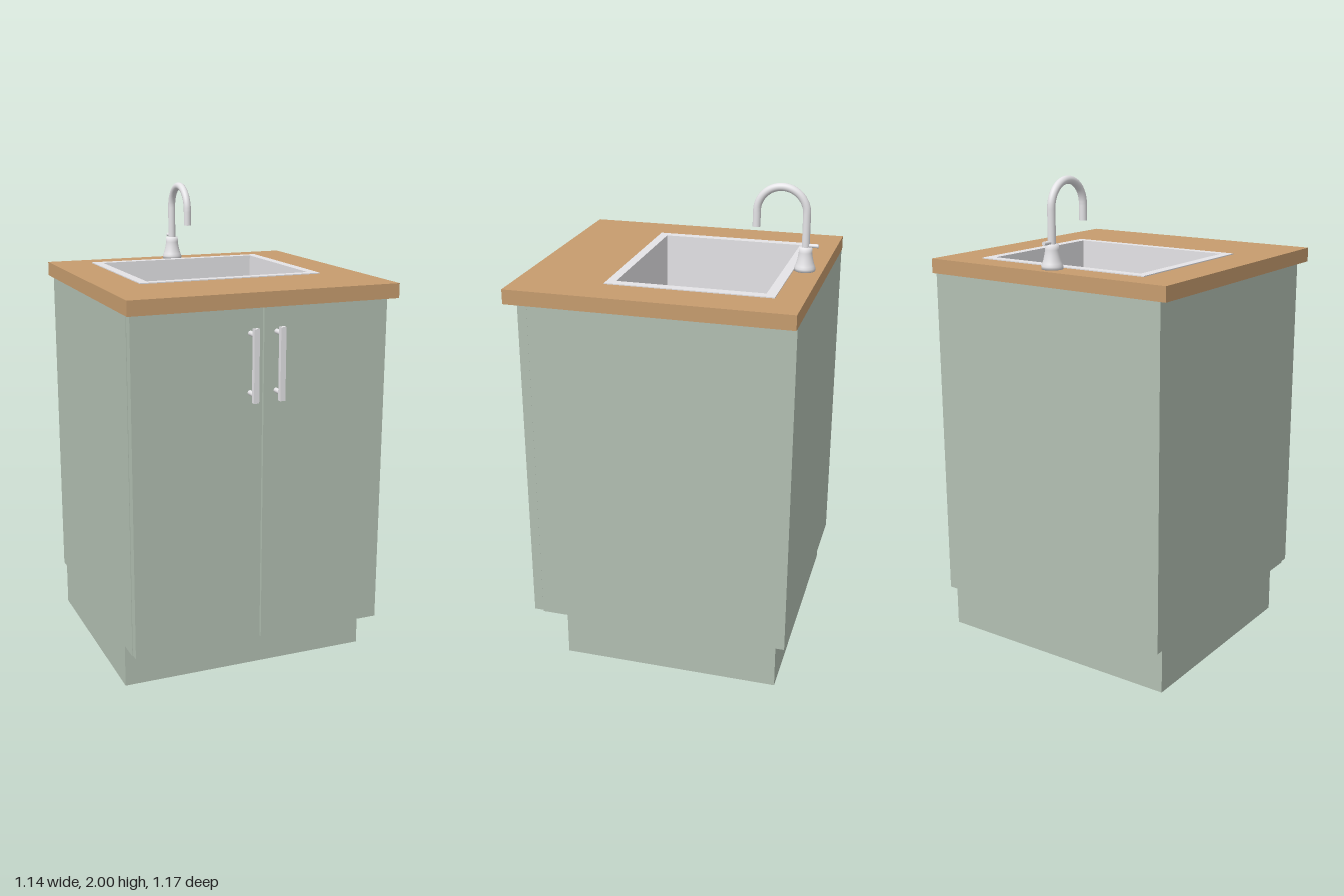
import * as THREE from 'three';

export function createModel() {
  const model = new THREE.Group();
  model.name = 'sinkCabinet';

  const mat = (name, color) => {
    const m = new THREE.MeshStandardMaterial({ color });
    m.name = name;
    return m;
  };
  const green = mat('sageGreen', 0xb2bfb2);
  const wood = mat('wood', 0xc69c6e);
  const steel = mat('steel', 0xe4e3e6);

  const add = (name, geometry, material, parent = model) => {
    const mesh = new THREE.Mesh(geometry, material);
    mesh.name = name;
    parent.add(mesh);
    return mesh;
  };
  // Box given by its minimum and maximum on each axis
  const box = (name, [x0, x1], [y0, y1], [z0, z1], material, parent) => {
    const g = new THREE.BoxGeometry(x1 - x0, y1 - y0, z1 - z0);
    g.translate((x0 + x1) / 2, (y0 + y1) / 2, (z0 + z1) / 2);
    return add(name, g, material, parent);
  };
  // Horizontal rectangular frame with a rectangular opening: outline anticlockwise, hole clockwise
  const frame = (name, outer, inner, [y0, y1], material, parent) => {
    const corners = ([x, z0, z1]) => [[-x, -z1], [x, -z1], [x, -z0], [-x, -z0]]
      .map(([a, b]) => new THREE.Vector2(a, b));
    const shape = new THREE.Shape(corners(outer));
    shape.holes.push(new THREE.Path(corners(inner).reverse()));
    const g = new THREE.ExtrudeGeometry(shape, { depth: y1 - y0, bevelEnabled: false });
    g.rotateX(-Math.PI / 2);
    g.translate(0, y0, 0);
    return add(name, g, material, parent);
  };

  // Plinth and hollow carcass
  box('plinth', [-0.544, 0.544], [0, 0.187], [-0.548, 0.37], green);
  box('carcassBottom', [-0.547, 0.547], [0.187, 0.225], [-0.585, 0.48], green);
  frame('carcassWalls', [0.547, -0.585, 0.48], [0.517, -0.555, 0.45], [0.225, 1.59], green);

  // Doors with bar handles
  for (const side of [-1, 1]) {
    const door = new THREE.Group();
    door.name = side > 0 ? 'leftDoor' : 'rightDoor';
    model.add(door);
    const span = (a, b) => (side > 0 ? [a, b] : [-b, -a]);
    box('doorPanel', span(0.003, 0.545), [0.192, 1.582], [0.481, 0.52], green, door);
    box('handleBar', span(0.045, 0.067), [1.218, 1.511], [0.565, 0.585], steel, door);
    for (const y of [1.248, 1.484]) {
      const post = new THREE.CylinderGeometry(0.01, 0.01, 0.05, 16);
      post.rotateX(Math.PI / 2);
      post.translate(side * 0.056, y, 0.543);
      add('handlePost', post, steel, door);
    }
  }

  // Worktop with the sink cut-out
  frame('worktop', [0.57, -0.585, 0.57], [0.37, -0.44, 0.185], [1.59, 1.65], wood);

  // Inset sink
  const sink = new THREE.Group();
  sink.name = 'sink';
  model.add(sink);
  frame('sinkRim', [0.398, -0.469, 0.212], [0.358, -0.429, 0.174], [1.648, 1.654], steel, sink);
  frame('basinWalls', [0.368, -0.439, 0.184], [0.358, -0.429, 0.174], [1.355, 1.648], steel, sink);
  box('basinFloor', [-0.368, 0.368], [1.345, 1.355], [-0.439, 0.184], steel, sink);

  // Tap: turned base, swan-neck spout and rear lever
  const tap = new THREE.Group();
  tap.name = 'tap';
  tap.position.set(0, 1.65, -0.512);
  model.add(tap);
  const profile = [[0, 0], [0.043, 0], [0.043, 0.012], [0.039, 0.022], [0.035, 0.034],
    [0.03, 0.055], [0.027, 0.075], [0.027, 0.097], [0, 0.097]];
  add('tapBase', new THREE.LatheGeometry(profile.map(([r, y]) => new THREE.Vector2(r, y)), 32), steel, tap);

  const radius = 0.102, bendY = 0.232, tipY = 0.168, pipe = 0.016;
  const path = new THREE.CurvePath();
  const arc = [];
  for (let i = 0; i <= 16; i++) {
    const a = Math.PI * (1 - i / 16);
    arc.push(new THREE.Vector3(0, bendY + radius * Math.sin(a), radius * (1 + Math.cos(a))));
  }
  path.add(new THREE.LineCurve3(new THREE.Vector3(0, 0.08, 0), arc[0]));
  path.add(new THREE.CatmullRomCurve3(arc));
  path.add(new THREE.LineCurve3(arc[16], new THREE.Vector3(0, tipY, radius * 2)));
  add('spout', new THREE.TubeGeometry(path, 64, pipe, 20), steel, tap);
  const tip = new THREE.CircleGeometry(pipe, 20);
  tip.rotateX(Math.PI / 2);
  tip.translate(0, tipY, radius * 2);
  add('spoutEnd', tip, steel, tap);

  const lever = new THREE.CylinderGeometry(0.008, 0.008, 0.05, 16);
  lever.rotateX(Math.PI / 2);
  lever.translate(0, 0.103, -0.027);
  add('lever', lever, steel, tap);

  return model;
}
